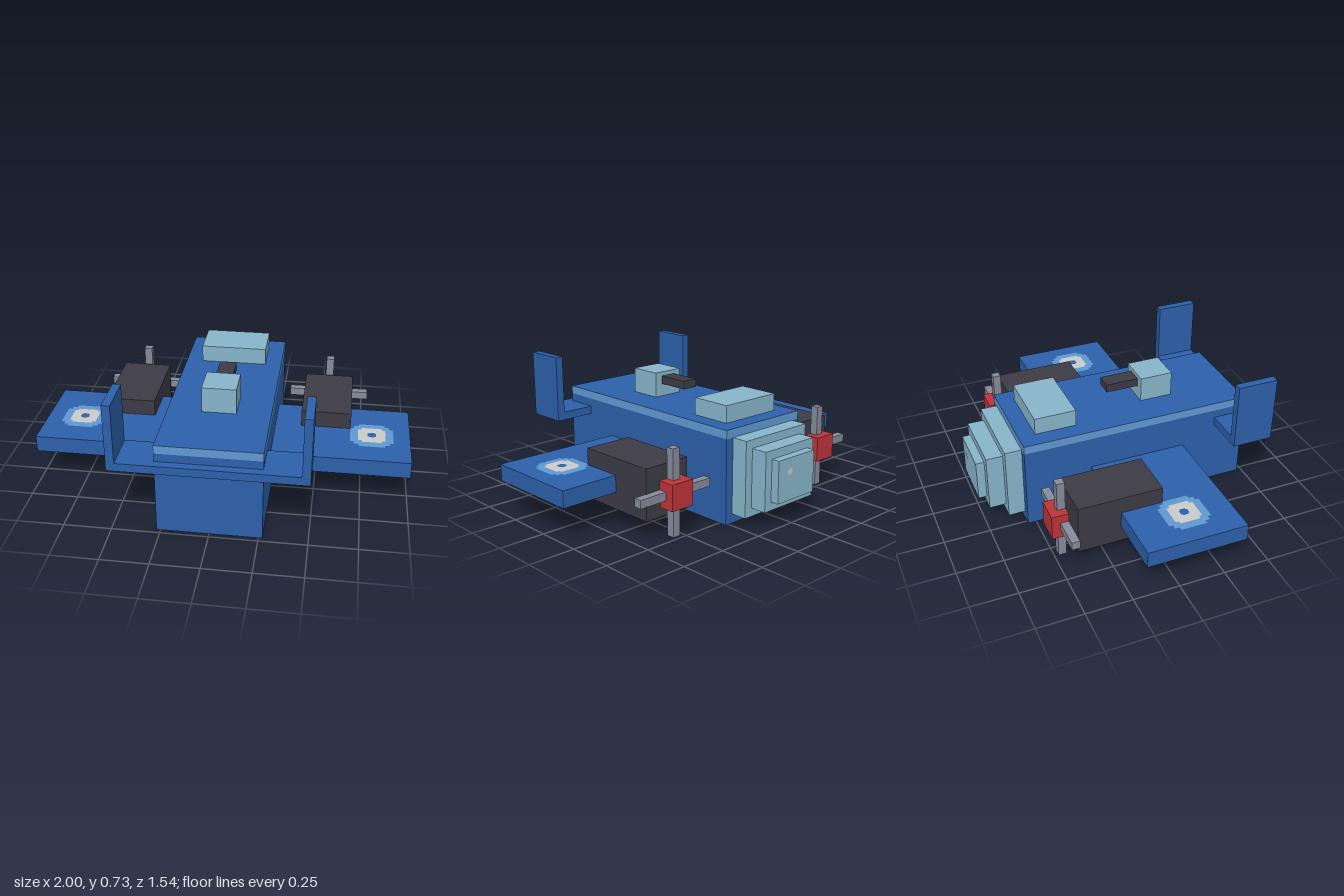
import * as THREE from 'three';

const mat = (name, color) => {
  const m = new THREE.MeshStandardMaterial({ color });
  m.name = name;
  return m;
};

export function createModel() {
  const blue = mat('body blue', 0x2c60aa);
  const lightBlue = mat('light blue', 0x6098d2);
  const glass = mat('pale glass', 0x87b5ca);
  const dark = mat('dark grey', 0x3c3b45);
  const red = mat('red', 0xbc343b);
  const metal = mat('blade grey', 0x868a9a);
  const white = mat('off white', 0xcacac8);

  const model = new THREE.Group();
  model.name = 'aeroplane';

  // Box given by its extents on each axis
  const box = (parent, name, material, [x0, x1], [y0, y1], [z0, z1]) => {
    const mesh = new THREE.Mesh(new THREE.BoxGeometry(x1 - x0, y1 - y0, z1 - z0), material);
    mesh.position.set((x0 + x1) / 2, (y0 + y1) / 2, (z0 + z1) / 2);
    mesh.name = name;
    parent.add(mesh);
    return mesh;
  };

  // Same box on both sides of the model
  const pair = (name, material, [x0, x1], ys, zs) => {
    box(model, name + 'Left', material, [x0, x1], ys, zs);
    box(model, name + 'Right', material, [-x1, -x0], ys, zs);
  };

  // Fuselage with a light stripe round its upper edge
  box(model, 'fuselage', blue, [-0.27, 0.27], [0, 0.455], [-0.545, 0.725]);
  box(model, 'upperDeck', [lightBlue, lightBlue, blue, blue, lightBlue, lightBlue],
    [-0.27, 0.27], [0.455, 0.5], [-0.545, 0.725]);

  // Stepped glass nose, narrowing towards the tip
  [[0.225, 0.05, 0.455, -0.635, -0.545], [0.18, 0.095, 0.41, -0.725, -0.635],
    [0.135, 0.14, 0.365, -0.77, -0.725]].forEach(([w, y0, y1, z0, z1], i) =>
    box(model, 'noseGlass' + (i + 1), glass, [-w, w], [y0, y1], [z0, z1]));
  const glint = new THREE.Mesh(new THREE.CircleGeometry(0.018, 12), white);
  glint.name = 'noseDot';
  glint.rotation.y = Math.PI;
  glint.position.set(0.05, 0.295, -0.772);
  model.add(glint);

  // Cockpit, turret and its gun
  box(model, 'cockpit', glass, [-0.18, 0.18], [0.5, 0.592], [-0.455, -0.228]);
  box(model, 'turret', glass, [-0.09, 0.09], [0.5, 0.638], [0.182, 0.363]);
  box(model, 'turretGun', dark, [-0.045, 0.045], [0.57, 0.615], [0, 0.182]);

  // Wings and twin tail
  pair('wing', blue, [0.27, 1], [0.185, 0.275], [-0.18, 0.36]);
  pair('tailplane', blue, [0, 0.5], [0.365, 0.41], [0.547, 0.77]);
  pair('fin', blue, [0.457, 0.5], [0.41, 0.728], [0.547, 0.77]);

  // Engines, with stores slung under the wing
  pair('engine', dark, [0.41, 0.68], [0.095, 0.365], [-0.41, 0.045]);
  pair('underwingStore', dark, [0.363, 0.453], [0.05, 0.185], [-0.045, 0.228]);
  pair('storeTip', red, [0.363, 0.453], [0.05, 0.185], [-0.135, -0.045]);

  // Stepped round badge outline: list of [half width, half height]
  const badge = (steps) => {
    const quarter = [];
    steps.forEach(([x, y], i) => {
      if (i) quarter.push([x, steps[i - 1][1]]);
      quarter.push([x, y]);
    });
    const pts = [];
    for (let q = 0; q < 4; q++) {
      const a = q * Math.PI / 2, c = Math.round(Math.cos(a)), s = Math.round(Math.sin(a));
      quarter.forEach(([x, y]) => pts.push(new THREE.Vector2(c * x - s * y, s * x + c * y)));
    }
    return new THREE.ShapeGeometry(new THREE.Shape(pts));
  };
  const rings = [
    ['badgeOuter', lightBlue, badge([[0.115, 0.07], [0.095, 0.095], [0.07, 0.115]])],
    ['badgeMiddle', white, badge([[0.073, 0.055], [0.055, 0.073]])],
    ['badgeCentre', blue, badge([[0.023, 0.015], [0.015, 0.023]])],
  ];

  for (const side of [1, -1]) {
    // Crossed propeller on a red hub
    const propeller = new THREE.Group();
    propeller.name = side > 0 ? 'propellerLeft' : 'propellerRight';
    propeller.position.set(side * 0.545, 0.228, 0);
    box(propeller, 'hub', red, [-0.068, 0.068], [-0.068, 0.068], [-0.523, -0.432]);
    box(propeller, 'verticalBlade', metal, [-0.022, 0.022], [-0.228, 0.228], [-0.478, -0.434]);
    box(propeller, 'horizontalBlade', metal, [-0.228, 0.228], [-0.022, 0.022], [-0.478, -0.434]);
    model.add(propeller);

    // Wing badge
    rings.forEach(([name, material, geometry], i) => {
      const ring = new THREE.Mesh(geometry, material);
      ring.name = name;
      ring.rotation.x = -Math.PI / 2;
      ring.position.set(side * 0.795, 0.277 + i * 0.002, 0.11);
      model.add(ring);
    });
  }

  return model;
}
